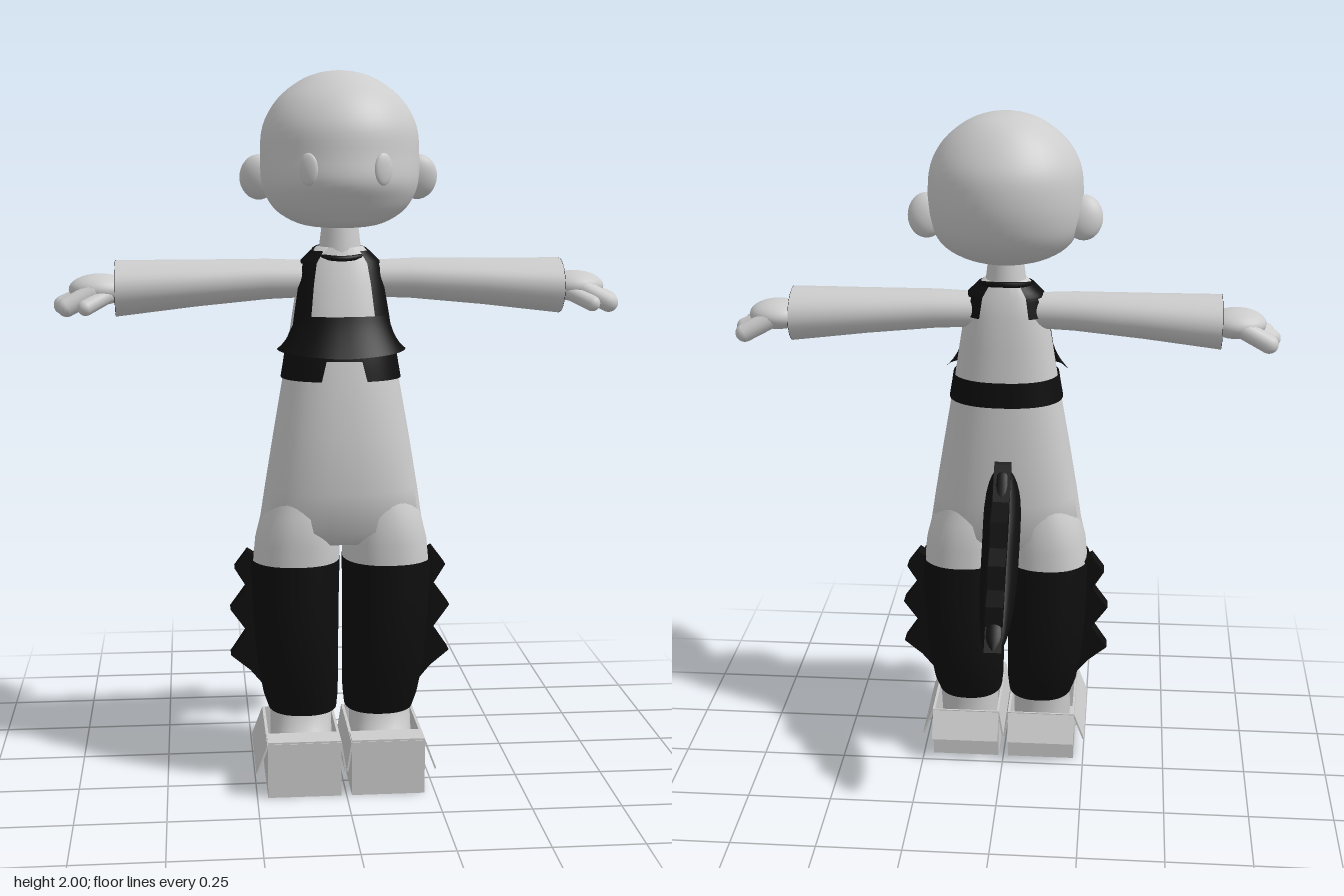
import * as THREE from 'three';
import { toCreasedNormals } from 'three/addons/utils/BufferGeometryUtils.js';

const skin = new THREE.MeshStandardMaterial({ color: 0xcccccc });
skin.name = 'light grey';
const cloth = new THREE.MeshStandardMaterial({ color: 0x0e0e0e, side: THREE.DoubleSide });
cloth.name = 'black cloth';

const pow = (v, e) => Math.sign(v) * Math.abs(v) ** e;

// Grid surface: rows x columns of points, with shared vertices and soft normals
function grid(rows, cols, point, closed) {
  const pos = [], idx = [];
  const n = closed ? cols : cols + 1;
  for (let i = 0; i < rows; i++) for (let j = 0; j < n; j++) pos.push(...point(i, j / cols));
  for (let i = 0; i < rows - 1; i++) for (let j = 0; j < cols; j++) {
    const a = i * n + j, b = i * n + (j + 1) % n;
    idx.push(a, b, b + n, a, b + n, a + n);
  }
  const g = new THREE.BufferGeometry();
  g.setAttribute('position', new THREE.Float32BufferAttribute(pos, 3));
  g.setIndex(idx);
  g.computeVertexNormals();
  return g;
}

// Upright loft; each row is [y, half width, centre z, half depth, centre x]
function loft(rows, power = 2, cols = 40) {
  const g = grid(rows.length, cols, (i, t) => {
    const [y, rx, cz, rz, cx = 0] = rows[i], a = t * Math.PI * 2;
    return [cx + rx * pow(Math.sin(a), 2 / power), y, cz + rz * pow(Math.cos(a), 2 / power)];
  }, true);
  return toCreasedNormals(g, 0.9);
}

// Smooth a short list of rows with a spline through every column
function smooth(rows, steps = 4) {
  const out = [], n = rows.length - 1;
  for (let k = 0; k <= n * steps; k++) {
    const i = Math.min(Math.floor(k / steps), n - 1), t = k / steps - i;
    const at = (q) => rows[Math.max(0, Math.min(n, q))];
    out.push(rows[0].map((_, c) => {
      const p0 = at(i - 1)[c], p1 = at(i)[c], p2 = at(i + 1)[c], p3 = at(i + 2)[c];
      const m1 = (p2 - p0) / 2, m2 = (p3 - p1) / 2, d = p1 - p2;
      return p1 + m1 * t + (-3 * d - 2 * m1 - m2) * t * t + (2 * d + m1 + m2) * t ** 3;
    }));
  }
  return out;
}

const TORSO = [
  [0.69, 0, 0.165, 0], [0.70, 0.19, 0.165, 0.11], [0.74, 0.232, 0.17, 0.135],
  [0.85, 0.215, 0.172, 0.143], [1.0, 0.19, 0.17, 0.142], [1.2, 0.155, 0.16, 0.122],
  [1.33, 0.135, 0.15, 0.105], [1.42, 0.12, 0.14, 0.09], [1.48, 0.105, 0.135, 0.075],
  [1.52, 0.065, 0.135, 0.06], [1.53, 0, 0.135, 0],
];

function torsoPoint(y, a, off) {
  let i = 0;
  while (i < TORSO.length - 2 && TORSO[i + 1][0] < y) i++;
  const t = (y - TORSO[i][0]) / (TORSO[i + 1][0] - TORSO[i][0]);
  const [, rx, cz, rz] = TORSO[i].map((v, c) => v + (TORSO[i + 1][c] - v) * t);
  const e = 2 / 2.3;
  return [(rx + off) * pow(Math.sin(a), e), y, cz + (rz + off) * pow(Math.cos(a), e)];
}

// Cloth lying on the torso between two angles and two heights
function wrap(a0, a1, lo, hi, off = () => 0.006, rows = 9, cols = 48) {
  return grid(rows, cols, (i, t) => {
    const a = a0 + (a1 - a0) * t, v = i / (rows - 1);
    return torsoPoint(lo(a) + (hi(a) - lo(a)) * v, a, off(v));
  }, false);
}

export function createModel() {
  const model = new THREE.Group();
  model.name = 'figure';
  const add = (name, geo, mat, x = 0, y = 0, z = 0) => {
    const m = new THREE.Mesh(geo, mat);
    m.name = name;
    m.position.set(x, y, z);
    model.add(m);
    return m;
  };
  const ball = (name, x, y, z, sx, sy, sz) => {
    const m = add(name, new THREE.SphereGeometry(1, 24, 16), skin, x, y, z);
    m.scale.set(sx, sy, sz);
    return m;
  };
  const box = (name, w, h, d, x, y, z) => add(name, new THREE.BoxGeometry(w, h, d), skin, x, y, z);
  const capsule = (name, p, q, r) => {
    const a = new THREE.Vector3(...p), b = new THREE.Vector3(...q), d = b.clone().sub(a);
    const m = add(name, new THREE.CapsuleGeometry(r, d.length(), 6, 14), skin);
    m.position.copy(a).add(b).multiplyScalar(0.5);
    m.quaternion.setFromUnitVectors(new THREE.Vector3(0, 1, 0), d.normalize());
  };

  // Head with a full forehead and low, flat chin
  add('head', loft(smooth([
    [1.57, 0, 0.15, 0], [1.58, 0.1, 0.15, 0.1], [1.61, 0.165, 0.14, 0.15],
    [1.65, 0.2, 0.135, 0.185], [1.7, 0.217, 0.135, 0.21], [1.77, 0.22, 0.126, 0.214],
    [1.85, 0.212, 0.125, 0.205], [1.92, 0.173, 0.125, 0.165], [1.97, 0.112, 0.12, 0.11],
    [1.993, 0.055, 0.12, 0.055], [2, 0, 0.12, 0],
  ])), skin);
  add('neck', new THREE.CylinderGeometry(0.047, 0.062, 0.12, 24), skin, 0, 1.55, 0.14);

  // Torso, bib, belt and neckline
  add('torso', loft(TORSO, 2.3, 48), skin);
  add('belt', wrap(-Math.PI, Math.PI, (a) => (Math.abs(a) < 0.27 ? 1.215 : 1.16),
    () => 1.235, undefined, 5, 96), cloth);
  add('bib', wrap(-1.45, 1.45, (a) => 1.225 + 0.01 * Math.abs(a),
    (a) => 1.335 - 0.06 * Math.max(0, Math.abs(a) - 1) / 0.45, (v) => 0.006 + 0.026 * (1 - v) ** 1.5), cloth);
  const collar = add('neckline', new THREE.TorusGeometry(0.073, 0.008, 8, 36), cloth, 0, 1.505, 0.137);
  collar.rotation.x = Math.PI / 2 + 0.2;

  // Tail: tapering body with a stepped crest
  const tailRows = smooth([
    [0.06, 0.85, 0.05, 0.13], [0, 0.83, 0.055, 0.14], [-0.08, 0.745, 0.055, 0.11],
    [-0.18, 0.67, 0.052, 0.09], [-0.27, 0.615, 0.043, 0.055], [-0.33, 0.585, 0.03, 0.026],
    [-0.358, 0.572, 0, 0],
  ]);
  add('tail', grid(tailRows.length, 28, (i, t) => {
    const [z, y, rx, ry] = tailRows[i], a = t * Math.PI * 2;
    return [rx * Math.sin(a), y + ry * Math.cos(a), z];
  }, true), cloth);
  const plate = (pts, d) => {
    const g = new THREE.ExtrudeGeometry(new THREE.Shape(pts.map((p) => new THREE.Vector2(...p))),
      { depth: d, bevelEnabled: false });
    return g.translate(0, 0, -d / 2);
  };
  const crest = add('tailCrest', plate([
    [0.04, 0.75], [0.035, 1.0], [0.02, 0.99], [-0.05, 0.9], [-0.13, 0.87], [-0.155, 0.8], [-0.215, 0.77],
    [-0.235, 0.705], [-0.295, 0.68], [-0.31, 0.625], [-0.36, 0.57], [-0.27, 0.58], [-0.1, 0.68],
  ], 0.05), cloth);
  crest.rotation.y = -Math.PI / 2;

  for (const s of [1, -1]) {
    const n = (name) => (s > 0 ? 'left' : 'right') + name;

    // Face
    ball(n('Eye'), s * 0.1, 1.735, 0.321, 0.027, 0.043, 0.01).rotation.y = s * 0.45;
    ball(n('Ear'), s * 0.222, 1.71, 0.1, 0.054, 0.064, 0.034).rotation.x = 0.25;

    // Straps over the shoulder
    const strap = (name, a0, a1, lo, hi) =>
      add(n(name), wrap(s * a0, s * a1, () => lo, () => hi, undefined, 8, 16), cloth);
    strap('FrontStrap', 0.62, 1.2, 1.31, 1.505);
    strap('ShoulderStrap', 0.62, 2.6, 1.475, 1.51);
    strap('BackStrap', 2.15, 2.6, 1.42, 1.505);

    // Flared sleeve with a dark lining
    const tube = (rows) => grid(rows.length, 32, (i, t) => {
      const [x, y, ry, rz] = rows[i], a = t * Math.PI * 2;
      return [s * x, y + ry * Math.cos(a), 0.128 + s * rz * Math.sin(a)];
    }, true);
    add(n('Sleeve'), tube([
      [0.05, 1.43, 0.05, 0.052], [0.2, 1.43, 0.056, 0.066], [0.4, 1.42, 0.065, 0.081],
      [0.62, 1.407, 0.078, 0.097],
    ]), skin);
    add(n('SleeveLining'), tube([
      [0.621, 1.407, 0.078, 0.097], [0.62, 1.407, 0.071, 0.09], [0.57, 1.408, 0.065, 0.08], [0.56, 1.408, 0, 0],
    ]), cloth);

    // Hand with drooping fingers
    ball(n('Palm'), s * 0.665, 1.405, 0.125, 0.085, 0.043, 0.075);
    [[0.078, 0.755], [0.126, 0.765], [0.174, 0.752]].forEach(([z, x], i) =>
      capsule(n('Finger' + (i + 1)), [s * 0.68, 1.4, z], [s * x, 1.362, z + (z - 0.126) * 0.3], 0.027));
    capsule(n('Thumb'), [s * 0.645, 1.39, 0.175], [s * 0.7, 1.362, 0.213], 0.022);

    // Leg: upper trouser, dark lower trouser and ankle
    add(n('Thigh'), loft([
      [0.63, 0.122, 0.165, 0.135, s * 0.128], [0.7, 0.12, 0.168, 0.136, s * 0.123],
      [0.78, 0.105, 0.17, 0.132, s * 0.118], [0.9, 0.06, 0.17, 0.09, s * 0.1],
    ], 2.3), skin);
    add(n('TrouserLeg'), loft([
      [0.2, 0, 0.15, 0, s * 0.11], [0.2, 0.098, 0.15, 0.11, s * 0.11], [0.24, 0.107, 0.147, 0.125, s * 0.115],
      [0.32, 0.115, 0.15, 0.143, s * 0.122], [0.42, 0.12, 0.153, 0.151, s * 0.127],
      [0.54, 0.124, 0.16, 0.146, s * 0.13], [0.645, 0.126, 0.165, 0.139, s * 0.13],
    ], 2.3), cloth);
    const fin = add(n('LegFin'), plate([
      [0.18, 0.24], [0.21, 0.25], [0.26, 0.31], [0.315, 0.355], [0.268, 0.425], [0.315, 0.49], [0.268, 0.555],
      [0.302, 0.61], [0.265, 0.66], [0.235, 0.64],
    ], 0.05), cloth, 0, 0, 0.14);
    fin.rotation.y = s > 0 ? 0 : Math.PI;
    add(n('Foot'), loft([
      [0.01, 0.085, 0.19, 0.14, s * 0.115], [0.1, 0.088, 0.18, 0.13, s * 0.115],
      [0.15, 0.088, 0.155, 0.1, s * 0.115], [0.21, 0.087, 0.145, 0.095, s * 0.115],
    ], 2.3), skin);

    // Open carton shoe with folded flaps
    const cx = s * 0.1175;
    box(n('ShoeSole'), 0.205, 0.008, 0.32, cx, 0.004, 0.2);
    for (const z of [0.043, 0.357]) box(n('ShoeEnd'), 0.205, 0.155, 0.006, cx, 0.0775, z);
    for (const x of [0.018, 0.217]) box(n('ShoeSide'), 0.006, 0.155, 0.32, s * x, 0.0775, 0.2);
    box(n('FrontFlap'), 0.205, 0.005, 0.075, cx, 0.158, 0.322);
    box(n('OuterFlap'), 0.005, 0.088, 0.32, s * 0.235, 0.112, 0.2).rotation.z = s * 0.36;
    box(n('InnerFlap'), 0.005, 0.085, 0.32, s * 0.009, 0.112, 0.2).rotation.z = -s * 0.16;
    box(n('BackFlap'), 0.205, 0.09, 0.005, cx, 0.113, 0.018).rotation.x = 0.5;
  }
  return model;
}
